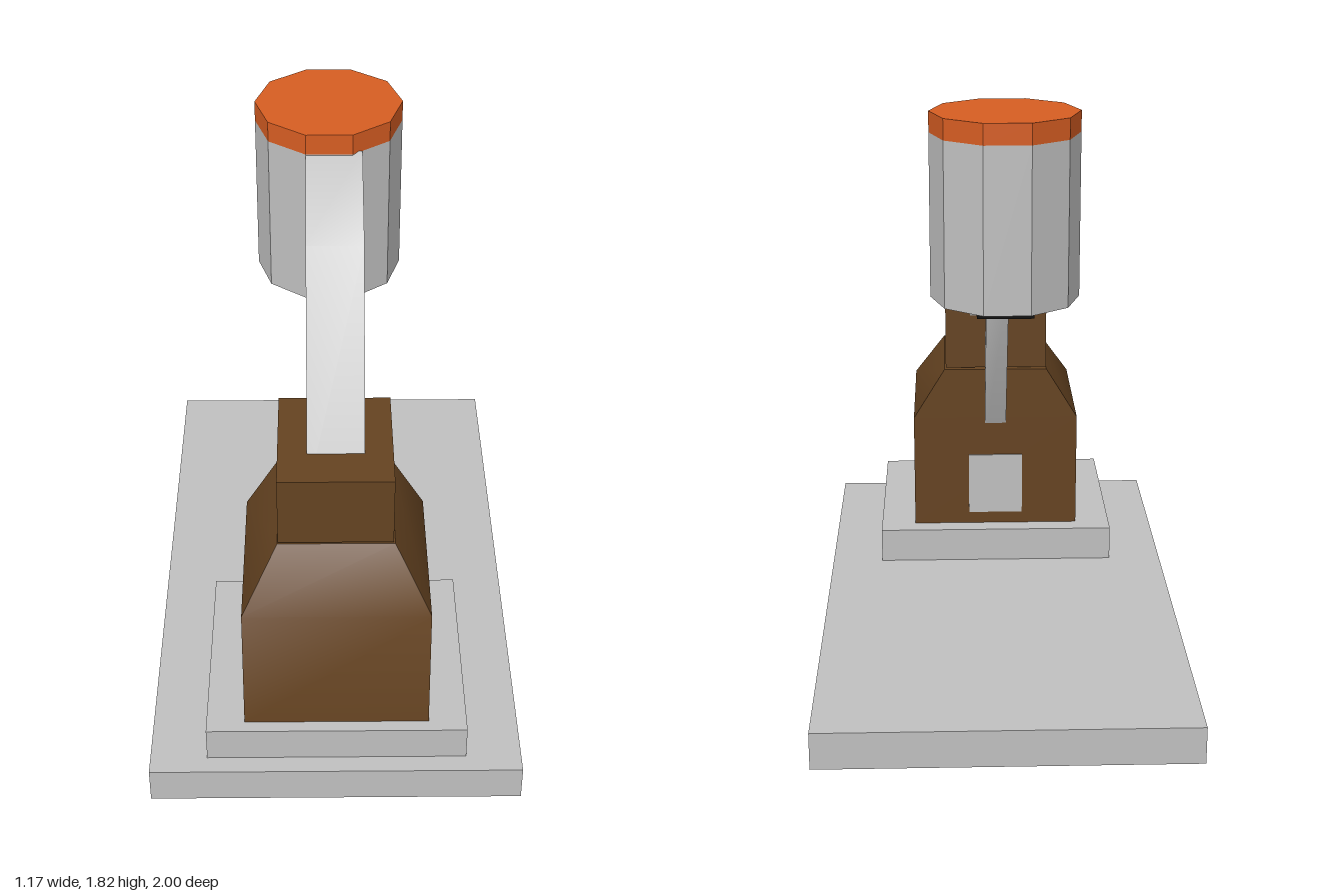
import * as THREE from 'three';
import { toCreasedNormals } from 'three/addons/utils/BufferGeometryUtils.js';

const material = (name, color) => {
  const m = new THREE.MeshStandardMaterial({ color });
  m.name = name;
  return m;
};

export function createModel() {
  const silver = material('silver', 0xc0c0c0);
  const brown = material('brown', 0x654321);
  const orange = material('orange', 0xd65d22);
  const black = material('black', 0x0a0a0a);
  const model = new THREE.Group();
  model.name = 'pedestalArm';

  const add = (name, geometry, mat, x = 0, y = 0, z = 0) => {
    const mesh = new THREE.Mesh(geometry, mat);
    mesh.name = name;
    mesh.position.set(x, y, z);
    model.add(mesh);
  };

  // Box given by its x, y and z ranges
  const box = (name, mat, [x0, x1], [y0, y1], [z0, z1]) =>
    add(name, new THREE.BoxGeometry(x1 - x0, y1 - y0, z1 - z0), mat,
      (x0 + x1) / 2, (y0 + y1) / 2, (z0 + z1) / 2);

  // Side profile of [z, y] points, extruded across x
  const sideProfile = (name, mat, points, width) => {
    const shape = new THREE.Shape(points.map(([z, y]) => new THREE.Vector2(z, y)));
    const g = new THREE.ExtrudeGeometry(shape, { depth: width, bevelEnabled: false });
    g.rotateY(-Math.PI / 2).translate(width / 2, 0, 0);
    add(name, toCreasedNormals(g, 0.7), mat);
  };

  // Closed loft through rectangular sections [y, half width, back z, front z]
  const loft = (sections) => {
    const pos = [];
    const index = [];
    sections.forEach(([y, w, back, front], s) => {
      pos.push(-w, y, front, w, y, front, w, y, back, -w, y, back);
      if (s === 0) return;
      for (let i = 0; i < 4; i++) {
        const a = (s - 1) * 4 + i;
        const b = (s - 1) * 4 + (i + 1) % 4;
        index.push(a, b, b + 4, a, b + 4, a + 4);
      }
    });
    const t = (sections.length - 1) * 4;
    index.push(0, 2, 1, 0, 3, 2, t, t + 1, t + 2, t, t + 2, t + 3);
    const g = new THREE.BufferGeometry();
    g.setAttribute('position', new THREE.Float32BufferAttribute(pos, 3));
    g.setIndex(index);
    return toCreasedNormals(g, 0.7);
  };

  // Stepped base
  box('basePlate', silver, [-0.59, 0.585], [0, 0.12], [-1, 1]);
  box('baseStep', silver, [-0.41, 0.41], [0.12, 0.237], [0.235, 0.94]);

  // Tapered pedestal with a collar and a small panel on the back
  add('pedestal', loft([
    [0.237, 0.29, 0.3, 0.9],
    [0.64, 0.29, 0.3, 0.855],
    [0.82, 0.18, 0.3, 0.725],
  ]), brown);
  box('collar', brown, [-0.178, 0.175], [0.828, 1.06], [0.3, 0.728]);
  box('backPanel', silver, [-0.095, 0.095], [0.28, 0.5], [0.295, 0.301]);

  // Bent main arm
  sideProfile('arm', silver, [
    [-0.025, 1.762], [0.29, 1.61], [0.65, 0.95],
    [0.335, 0.95], [0.085, 1.44], [-0.025, 1.47],
  ], 0.176);

  // Rear strut, tied to the arm by two short links
  sideProfile('strut', silver, [
    [0.027, 1.35], [-0.012, 1.33], [-0.012, 1.24],
    [0.35, 0.52], [0.35, 0.7],
  ], 0.075);
  const links = [
    [[0.25, 1.156], [0.13, 1.096], [0.155, 1.046], [0.275, 1.106]],
    [[0.33, 0.991], [0.21, 0.931], [0.235, 0.881], [0.355, 0.941]],
  ];
  links.forEach((points, i) => sideProfile(`link${i + 1}`, silver, points, 0.07));

  // Ten-sided head with a coloured lid
  const headX = -0.015;
  const headZ = -0.245;
  const drum = (name, mat, y0, y1) => {
    const g = new THREE.CylinderGeometry(0.235, 0.235, y1 - y0, 10, 1, false, Math.PI / 2);
    g.scale(1, 1, 1.05);
    add(name, toCreasedNormals(g, 0.3), mat, headX, (y0 + y1) / 2, headZ);
  };
  drum('head', silver, 1.237, 1.758);
  drum('headLid', orange, 1.758, 1.824);

  // Square nozzle under the head
  box('nozzle', black, [headX - 0.09, headX + 0.09], [1.187, 1.237], [headZ - 0.09, headZ + 0.088]);

  return model;
}
